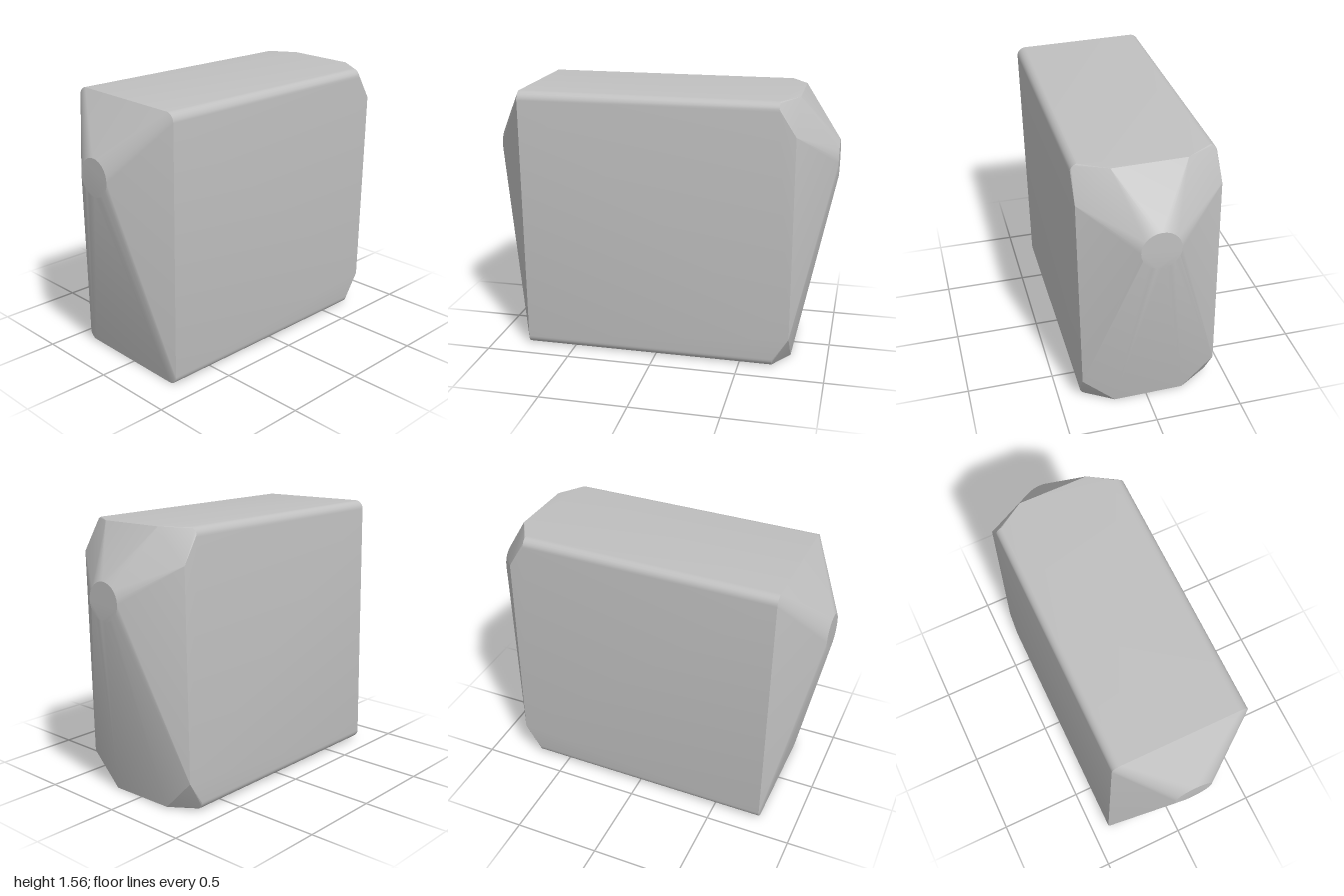
import * as THREE from 'three';
import { ConvexGeometry } from 'three/addons/geometries/ConvexGeometry.js';
import { toCreasedNormals } from 'three/addons/utils/BufferGeometryUtils.js';

const HALF_Y = 0.776, HALF_Z = 0.387, ROUND = 0.05;

// rounded rectangular section of the block at a given x
function roundedSection(x) {
  const pts = [];
  for (const [sy, sz, start] of [[1, 1, 0], [1, -1, 1], [-1, -1, 2], [-1, 1, 3]]) {
    for (let i = 0; i <= 6; i++) {
      const a = (start + i / 6) * Math.PI / 2;
      pts.push(new THREE.Vector3(x,
        sy * (HALF_Y - ROUND) + ROUND * Math.sin(a),
        sz * (HALF_Z - ROUND) + ROUND * Math.cos(a)));
    }
  }
  return pts;
}

// section with its four corners cut off
function cutSection(x, cut) {
  const pts = [];
  for (const sy of [-1, 1]) for (const sz of [-1, 1]) {
    pts.push(new THREE.Vector3(x, sy * (HALF_Y - cut), sz * HALF_Z));
    pts.push(new THREE.Vector3(x, sy * HALF_Y, sz * (HALF_Z - cut)));
  }
  return pts;
}

// small round tip that each end tapers to
function tip(x) {
  const pts = [];
  for (let i = 0; i < 28; i++) {
    const a = i / 28 * Math.PI * 2;
    pts.push(new THREE.Vector3(x, 0.39 + 0.108 * Math.sin(a), 0.108 * Math.cos(a)));
  }
  return pts;
}

export function createModel() {
  const grey = new THREE.MeshStandardMaterial({ color: 0xc0c0c0 });
  grey.name = 'grey';

  // block with a plain tapered end at -x and a corner-cut tapered end at +x
  const hull = new ConvexGeometry([
    ...tip(-1), ...roundedSection(-0.785),
    ...roundedSection(0.69), ...cutSection(0.785, 0.185), ...tip(1),
  ]);
  const block = new THREE.Mesh(toCreasedNormals(hull, 0.3), grey);
  block.name = 'taperedBlock';
  block.rotation.x = 0.0165; // slight lean
  block.position.y = 0.782;

  const model = new THREE.Group();
  model.name = 'model';
  model.add(block);
  return model;
}
